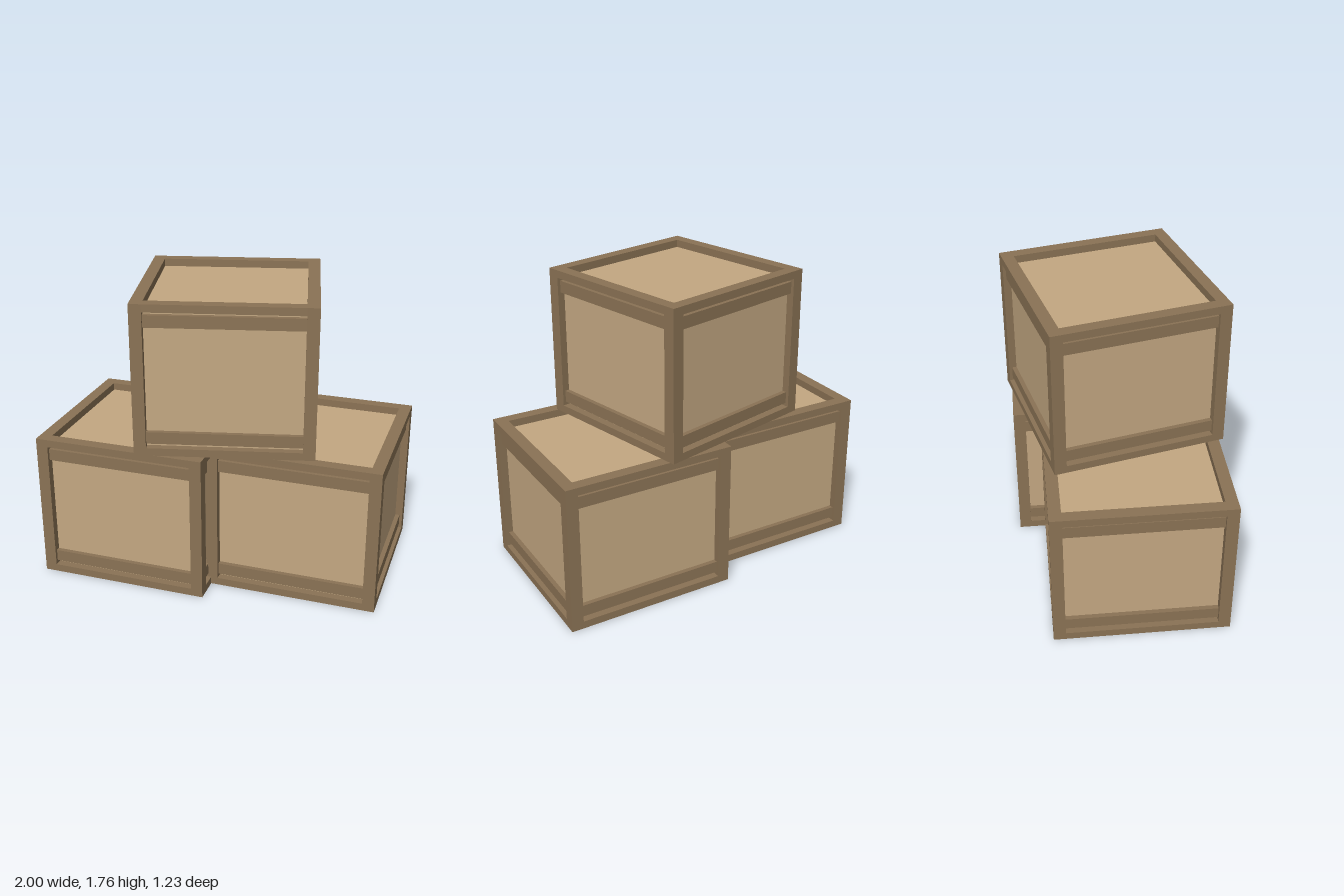
import * as THREE from 'three';

const W = 1.015, H = 0.88;          // crate width/depth and height
const POST = 0.07, RAIL = 0.045;    // corner post width, rail thickness
const BATTEN = 0.07, BATTEN_IN = 0.018;

const frameMat = new THREE.MeshStandardMaterial({ color: 0x8b7355 });
const panelMat = new THREE.MeshStandardMaterial({ color: 0xc4a882 });

function addBox(parent, name, size, pos, mat = frameMat) {
  const mesh = new THREE.Mesh(new THREE.BoxGeometry(...size), mat);
  mesh.name = name;
  mesh.position.set(...pos);
  parent.add(mesh);
}

function createCrate(name, x, y, z, turn = 0) {
  const crate = new THREE.Group();
  crate.name = name;
  const inner = W - 2 * POST, edge = W / 2 - POST / 2;

  // recessed body behind the frame
  addBox(crate, 'panelBody', [W - 2 * RAIL, H - 2 * RAIL, W - 2 * RAIL], [0, H / 2, 0], panelMat);

  // corner posts
  for (const sx of [-1, 1]) for (const sz of [-1, 1])
    addBox(crate, 'cornerPost', [POST, H, POST], [sx * edge, H / 2, sz * edge]);

  // rails and battens, one set per side
  const battenDepth = RAIL - BATTEN_IN;
  for (let i = 0; i < 4; i++) {
    const side = new THREE.Group();
    side.name = 'sideFrame';
    side.rotation.y = i * Math.PI / 2;
    for (const s of [-1, 1]) {
      addBox(side, 'edgeRail', [inner, RAIL, POST], [0, H / 2 + s * (H - RAIL) / 2, edge]);
      addBox(side, 'batten', [inner, BATTEN, battenDepth],
        [0, H / 2 + s * (H / 2 - 0.1), W / 2 - BATTEN_IN - battenDepth / 2]);
    }
    crate.add(side);
  }

  crate.position.set(x, y, z);
  crate.rotation.y = turn;
  return crate;
}

export function createModel() {
  const model = new THREE.Group();
  model.name = 'crateStack';
  model.add(
    createCrate('rightCrate', -0.4925, 0, 0.08),
    createCrate('leftCrate', 0.4925, 0, -0.08),
    createCrate('topCrate', 0, H, 0, 0.24)
  );
  return model;
}
